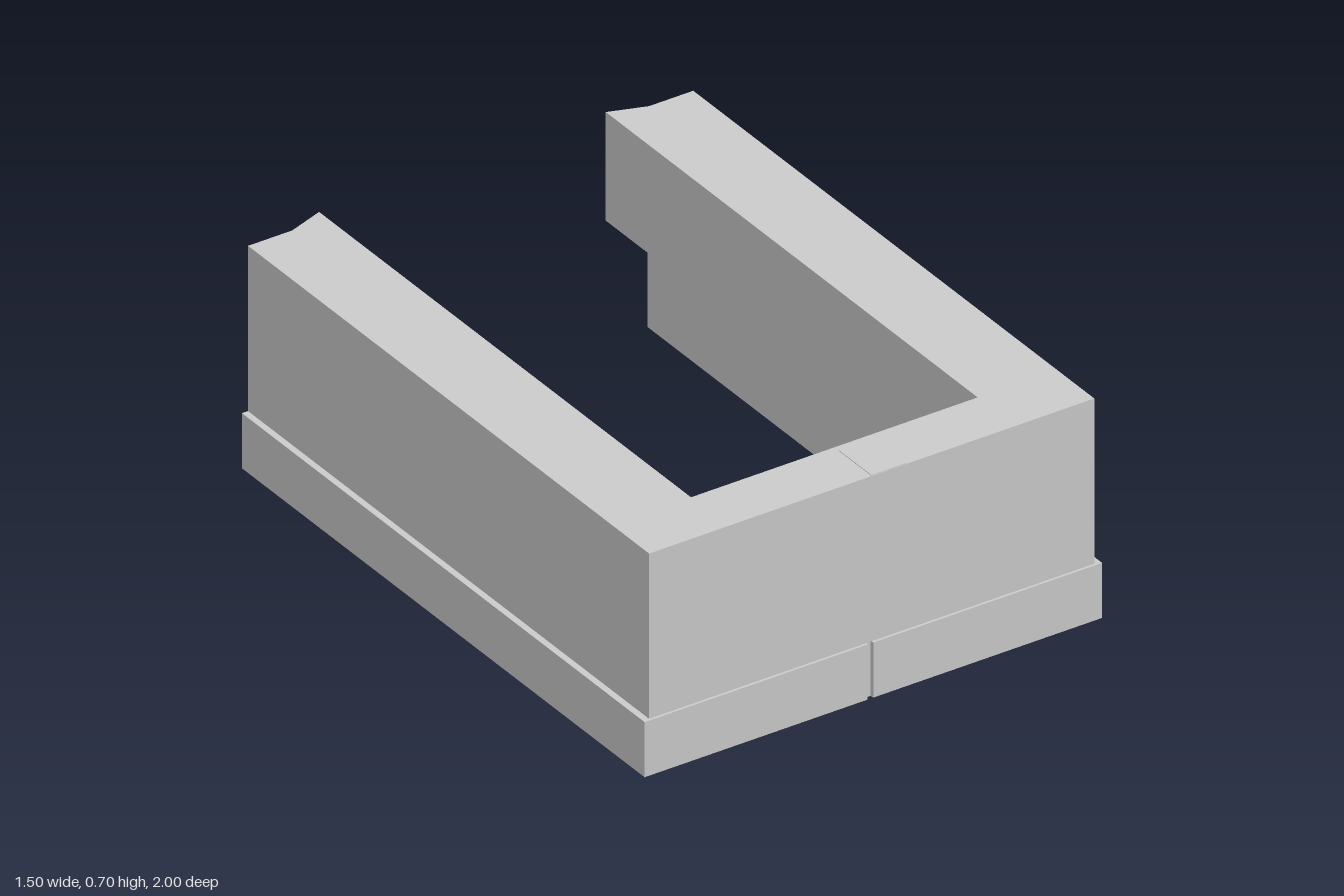
import * as THREE from 'three';

const material = new THREE.MeshStandardMaterial({ color: 0xcccccc, flatShading: true });

// Extrude a plan outline of [x, z] points from height y0 to y1
function layer(name, plan, y0, y1) {
  const shape = new THREE.Shape(plan.map(([x, z]) => new THREE.Vector2(x, -z)));
  const geometry = new THREE.ExtrudeGeometry(shape, { depth: y1 - y0, bevelEnabled: false });
  geometry.rotateX(-Math.PI / 2).translate(0, y0, 0);
  const mesh = new THREE.Mesh(geometry, material);
  mesh.name = name;
  return mesh;
}

// U-shaped plan, open at the back; the inner corner of each arm reaches tipZ
function uPlan(outerX, frontZ, innerX, innerZ, endZ, tip = [], front = []) {
  const mirrored = tip.map(([x, z]) => [-x, z]).reverse();
  return [
    [-outerX, endZ], [-outerX, frontZ], ...front, [outerX, frontZ], [outerX, endZ],
    ...tip, [innerX, tip.length ? -1 : endZ], [innerX, innerZ],
    [-innerX, innerZ], [-innerX, tip.length ? -1 : endZ], ...mirrored,
  ];
}

export function createModel() {
  const group = new THREE.Group();
  group.name = 'surround';
  const tip = [[0.585, -0.96]];

  // Wider base band with a narrow joint in the middle of the front
  const joint = [[-0.02, 1], [-0.015, 0.988], [-0.002, 0.988], [0, 1]];
  group.add(layer('baseBand', uPlan(0.75, 1, 0.58, 0.83, -0.96, [], joint), 0, 0.175));

  // Thin lower wall
  group.add(layer('lowerWall', uPlan(0.73, 0.992, 0.58, 0.83, -0.96), 0.175, 0.355));

  // Overhang level with the inner recess along the front and right arm,
  // and a shallow V-faced pillar at the centre
  group.add(layer('recessedWall', [
    [-0.73, -0.96], [-0.73, 0.992], [0.73, 0.992], [0.73, -0.96], [0.585, -0.96], [0.47, -1],
    [0.47, 0.94], [0.13, 0.94], [0.13, 0.81], [0, 0.85], [-0.115, 0.81], [-0.115, 0.94],
    [-0.625, 0.94], [-0.625, -0.56], [-0.47, -0.56], [-0.47, -1], [-0.585, -0.96],
  ], 0.355, 0.53));

  // Thick top
  group.add(layer('topWall', uPlan(0.73, 0.992, 0.47, 0.81, -0.96, tip), 0.53, 0.7));

  // Barely raised strip on the front of the top
  group.add(layer('topStrip', [[0, 0.83], [0.115, 0.83], [0.115, 0.99], [0, 0.99]], 0.69, 0.702));

  return group;
}
